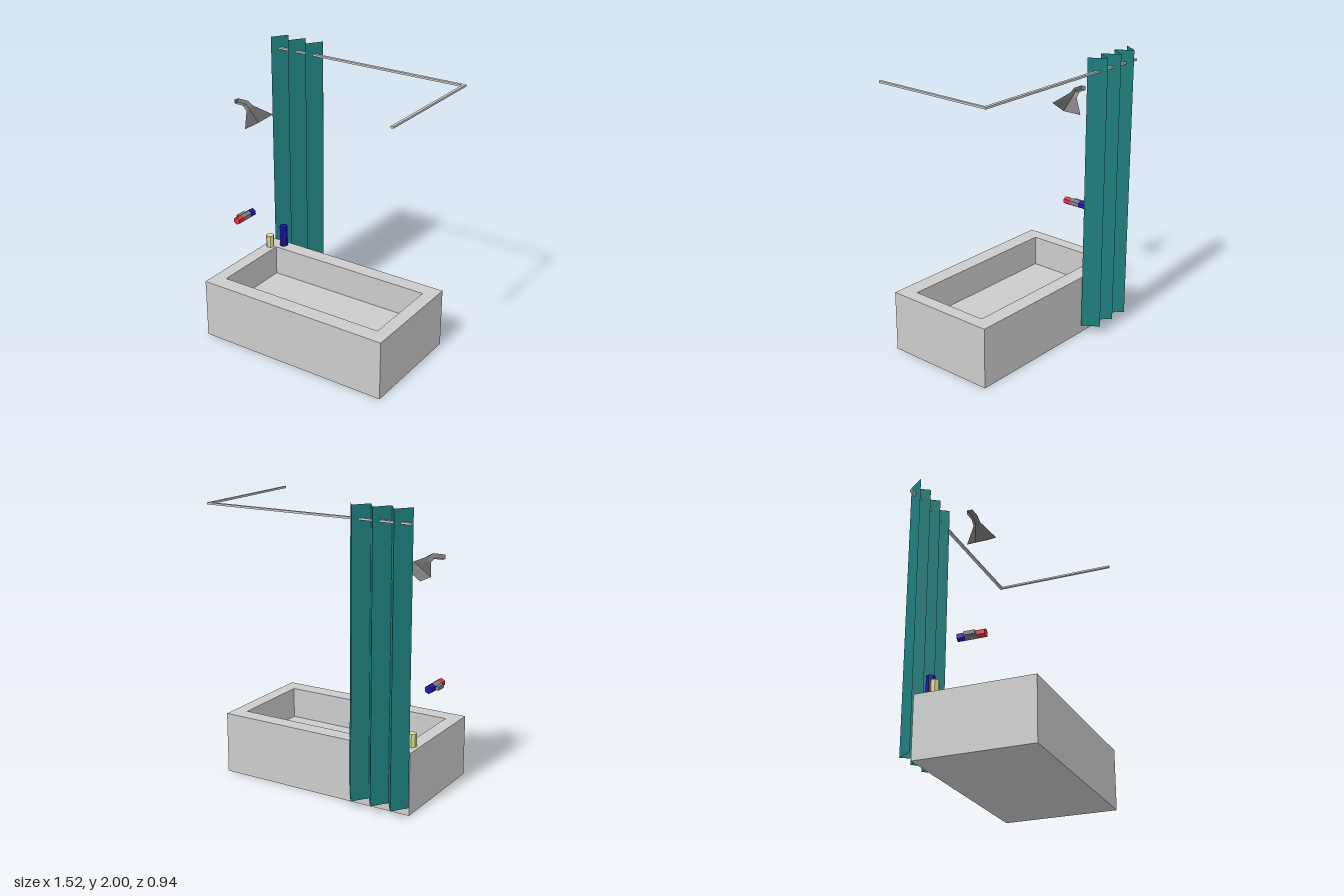
import * as THREE from 'three';

const mat = (color, side = THREE.FrontSide) =>
  new THREE.MeshStandardMaterial({ color, flatShading: true, side });

export function createModel() {
  const model = new THREE.Group();
  const grey = mat(0xcccccc), metal = mat(0x808080);
  const red = mat(0xdd3344), blue = mat(0x1e14b0), cream = mat(0xdcdc96);

  const add = (name, geometry, material) => {
    const mesh = new THREE.Mesh(geometry, material);
    mesh.name = name;
    model.add(mesh);
    return mesh;
  };
  // box given by its minimum and maximum corners
  const box = (name, [x0, y0, z0], [x1, y1, z1], material) =>
    add(name, new THREE.BoxGeometry(x1 - x0, y1 - y0, z1 - z0), material)
      .position.set((x0 + x1) / 2, (y0 + y1) / 2, (z0 + z1) / 2);
  // closed skin through a row of four-cornered sections
  const loft = (sections) => {
    const index = [], n = sections.length;
    for (let s = 0; s < n - 1; s++) {
      for (let k = 0; k < 4; k++) {
        const a = s * 4 + k, b = s * 4 + (k + 1) % 4;
        index.push(a, b, b + 4, a, b + 4, a + 4);
      }
    }
    const e = (n - 1) * 4;
    index.push(0, 2, 1, 0, 3, 2, e, e + 1, e + 2, e, e + 2, e + 3);
    const g = new THREE.BufferGeometry();
    g.setAttribute('position', new THREE.Float32BufferAttribute(sections.flat(2), 3));
    g.setIndex(index);
    g.computeVertexNormals();
    return g;
  };

  // Tub: one closed skin, up the outside, over the rim and down into the basin
  const ring = (x0, x1, z0, z1, y) => [[x0, y, z0], [x0, y, z1], [x1, y, z1], [x1, y, z0]];
  const tub = loft([
    ring(-0.74, 0.705, -0.35, 0.465, 0),
    ring(-0.74, 0.705, -0.35, 0.465, 0.43),
    ring(-0.645, 0.61, -0.24, 0.35, 0.43),
    ring(-0.645, 0.61, -0.24, 0.35, 0.21),
  ].map((r) => r.slice().reverse()).map((r) => r.reverse()));
  add('bathtub', tub, grey);

  // Curtain rail
  box('curtainRailBack', [-0.762, 1.904, -0.43], [0.76, 1.917, -0.407], grey);
  box('curtainRailSide', [0.741, 1.904, -0.407], [0.76, 1.917, 0.47], grey);

  // Pleated curtain: a strip folded back and forth in z
  const curtain = new THREE.PlaneGeometry(0.44, 1.94, 6, 1);
  const p = curtain.attributes.position;
  for (let i = 0; i < p.count; i++) p.setZ(i, (i % 7) % 2 ? -0.47 : -0.36);
  curtain.computeVertexNormals();
  add('curtain', curtain, mat(0x1f8080, THREE.DoubleSide)).position.set(-0.52, 1.03, 0);

  // Shower arm bending down into a flared head
  const section = (xt, yt, xb, yb, w) =>
    [[xt, yt, 0.018 - w], [xb, yb, 0.018 - w], [xb, yb, 0.018 + w], [xt, yt, 0.018 + w]];
  add('showerHead', loft([
    section(-0.764, 1.648, -0.764, 1.62, 0.018),
    section(-0.68, 1.648, -0.695, 1.62, 0.018),
    section(-0.637, 1.622, -0.663, 1.587, 0.018),
    section(-0.508, 1.565, -0.636, 1.477, 0.075),
  ]), metal);

  // Tap: hexagonal bar with a coloured handle at each end and a wall mount
  const bar = (name, z0, z1, material) =>
    add(name, new THREE.CylinderGeometry(0.029, 0.029, z1 - z0, 6).rotateX(Math.PI / 2), material)
      .position.set(-0.717, 0.77, (z0 + z1) / 2);
  bar('tapBody', -0.012, 0.067, metal);
  bar('hotHandle', 0.067, 0.122, red);
  bar('coldHandle', -0.066, -0.012, blue);
  box('tapMount', [-0.764, 0.757, -0.012], [-0.73, 0.783, 0.067], metal);

  // Bottles on the rim
  const bottle = (name, x, z, h, turn, material) => {
    const b = add(name, new THREE.CylinderGeometry(0.03, 0.03, h, 7), material);
    b.position.set(x, 0.43 + h / 2, z);
    b.rotation.y = turn;
  };
  bottle('tallBottle', -0.618, -0.3, 0.16, 0.3, blue);
  bottle('shortBottle', -0.692, -0.23, 0.09, Math.PI / 2, cream);

  return model;
}
